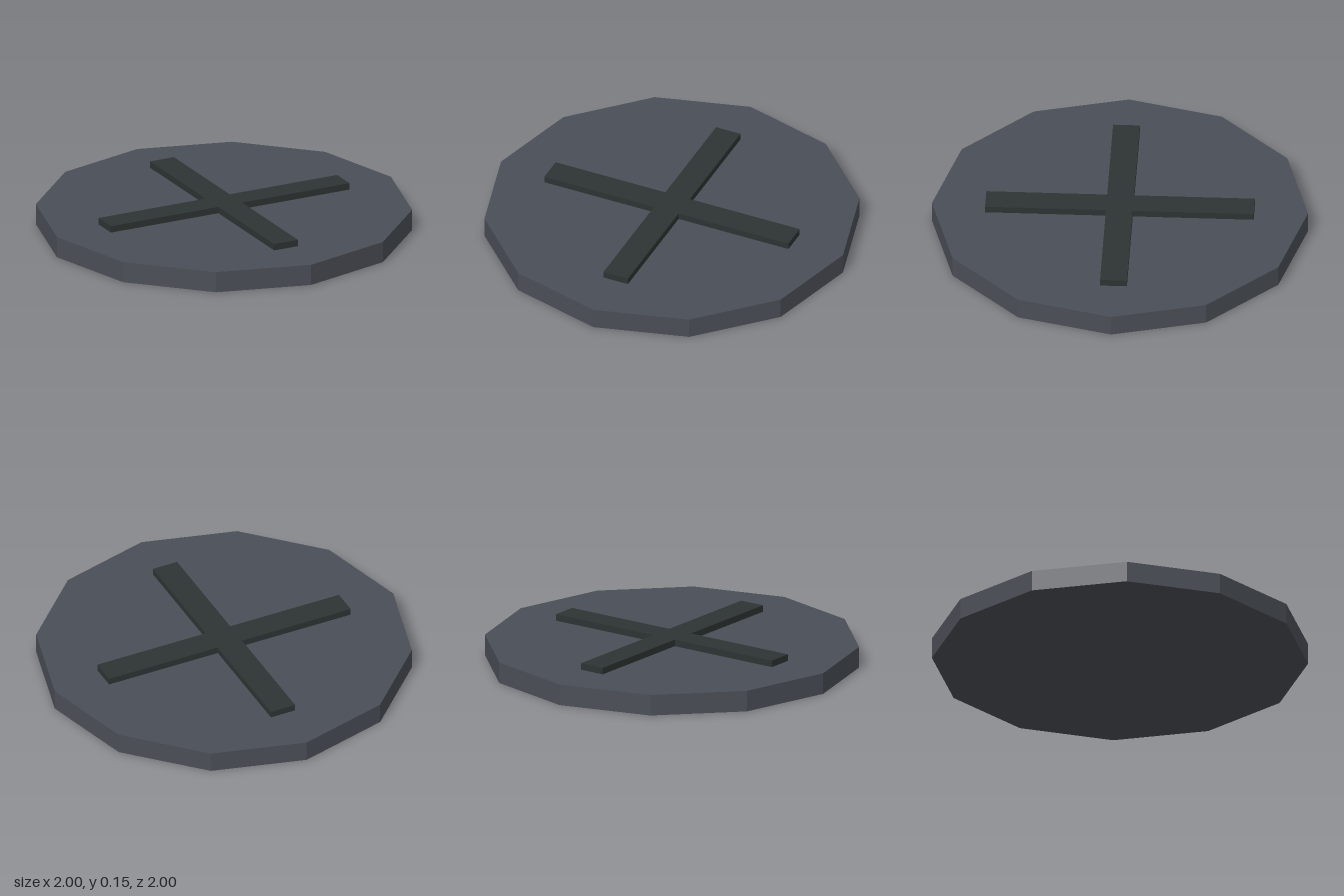
import * as THREE from 'three';

const RADIUS = 1;
const DISC_HEIGHT = 0.114;
const TOP = 0.15;
const ARM = 0.714; // centre to arm tip
const HALF = 0.0715; // half of the arm width

export function createModel() {
  const model = new THREE.Group();
  model.name = 'crossedDisc';

  const slate = new THREE.MeshStandardMaterial({ color: 0x4a4e56, flatShading: true });
  slate.name = 'slate grey';
  const dark = new THREE.MeshStandardMaterial({ color: 0x2d3433, flatShading: true });
  dark.name = 'dark green grey';

  // Twelve-sided disc with a corner on each axis
  const disc = new THREE.Mesh(new THREE.CylinderGeometry(RADIUS, RADIUS, DISC_HEIGHT, 12), slate);
  disc.name = 'disc';
  disc.position.y = DISC_HEIGHT / 2;
  model.add(disc);

  // Raised cross: one arm's three corners, turned four times
  const outline = [];
  for (let i = 0; i < 4; i++) {
    for (const [x, y] of [[ARM, -HALF], [ARM, HALF], [HALF, HALF]]) {
      outline.push(new THREE.Vector2(x, y).rotateAround(new THREE.Vector2(), i * Math.PI / 2));
    }
  }
  const geometry = new THREE.ExtrudeGeometry(new THREE.Shape(outline), {
    depth: TOP - DISC_HEIGHT, bevelEnabled: false,
  });
  geometry.rotateX(-Math.PI / 2);
  const cross = new THREE.Mesh(geometry, dark);
  cross.name = 'raisedCross';
  cross.position.y = DISC_HEIGHT;
  model.add(cross);

  return model;
}
